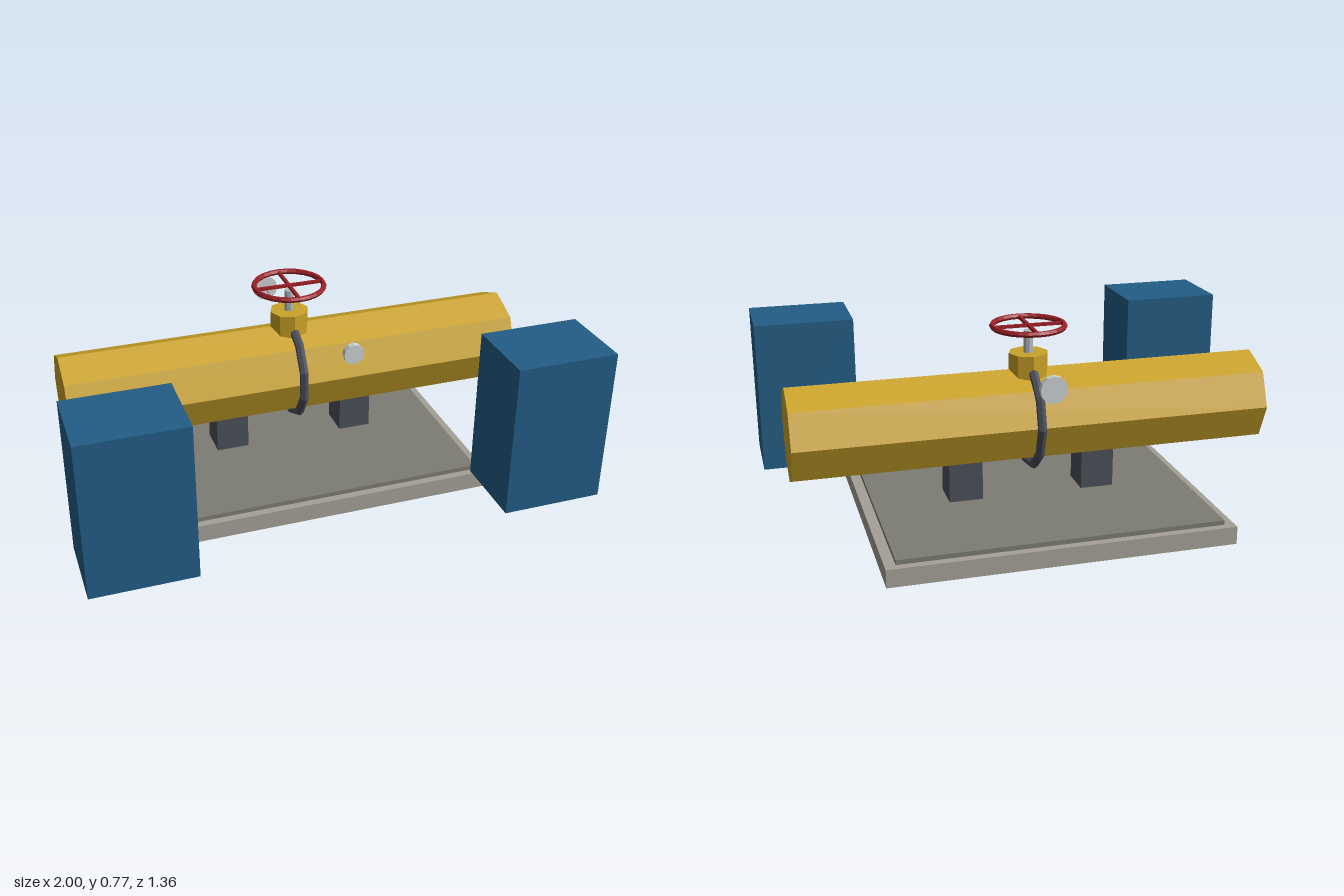
import * as THREE from 'three';

function material(name, color) {
  const m = new THREE.MeshStandardMaterial({ color, flatShading: true });
  m.name = name;
  return m;
}

export function createModel() {
  const model = new THREE.Group();
  model.name = 'pipeValveStation';

  const yellow = material('pipeYellow', 0xc9a227);
  const blue = material('cabinetBlue', 0x235d85);
  const dark = material('darkSteel', 0x4b4f58);
  const stone = material('concrete', 0xa5a098);
  const deck = material('deckGrey', 0x7c7c74);
  const steel = material('brightSteel', 0xb4b8bb);
  const dial = material('dialWhite', 0xcdd1d4);
  const red = material('wheelRed', 0x9c1f26);

  const axisZ = -0.147; // centre line of the pipe
  const axisY = 0.401;

  function add(name, geometry, mat, x, y, z, parent = model) {
    const mesh = new THREE.Mesh(geometry, mat);
    mesh.name = name;
    mesh.position.set(x, y, z);
    parent.add(mesh);
    return mesh;
  }
  const box = (w, h, d) => new THREE.BoxGeometry(w, h, d);
  const cylinder = (r, h, sides) => new THREE.CylinderGeometry(r, r, h, sides);

  // Plinth with a slightly smaller deck on top
  add('plinth', box(1.325, 0.07, 1.066), stone, 0, 0.035, axisZ);
  add('deck', box(1.245, 0.03, 1.005), deck, 0, 0.073, axisZ);

  // Octagonal pipe with a corner on top, carried by two posts
  add('pipe', cylinder(0.187, 1.865, 8).rotateZ(Math.PI / 2), yellow, 0, axisY, axisZ);
  for (const side of [-1, 1]) {
    add('support', box(0.132, 0.17, 0.132), dark, side * 0.267, 0.165, axisZ);
    add('cabinet', box(0.4, 0.62, 0.31), blue, side * 0.8, 0.38, 0.52);
  }

  // Flange ring around the middle of the pipe
  add('flangeRing', new THREE.TorusGeometry(0.2, 0.018, 6, 11).rotateY(Math.PI / 2), dark, 0, axisY, axisZ);

  // Valve: bonnet, stem and handwheel with crossed spokes
  add('valveBonnet', cylinder(0.078, 0.1, 8), yellow, 0, 0.602, axisZ);
  add('valveStem', cylinder(0.019, 0.1, 8), steel, 0, 0.688, axisZ);
  const wheel = new THREE.Group();
  wheel.name = 'handwheel';
  wheel.position.set(0, 0.757, axisZ);
  model.add(wheel);
  add('wheelRim', new THREE.TorusGeometry(0.139, 0.011, 6, 24).rotateX(Math.PI / 2), red, 0, 0, 0, wheel);
  add('spokeAcross', box(0.278, 0.012, 0.012), red, 0, 0, 0, wheel);
  add('spokeAlong', box(0.012, 0.012, 0.278), red, 0, 0, 0, wheel);

  // Pressure gauge on the front of the pipe
  add('frontGauge', cylinder(0.043, 0.025, 12).rotateX(Math.PI / 2), dial, 0.22, 0.493, 0.011);

  // Rear gauge on a thin stem
  add('rearGauge', cylinder(0.052, 0.025, 12).rotateX(Math.PI / 2), dial, 0, 0.605, -0.48);
  add('rearGaugeStem', cylinder(0.004, 0.085, 6).rotateX(Math.PI / 2), steel, 0, 0.605, -0.432);

  return model;
}
